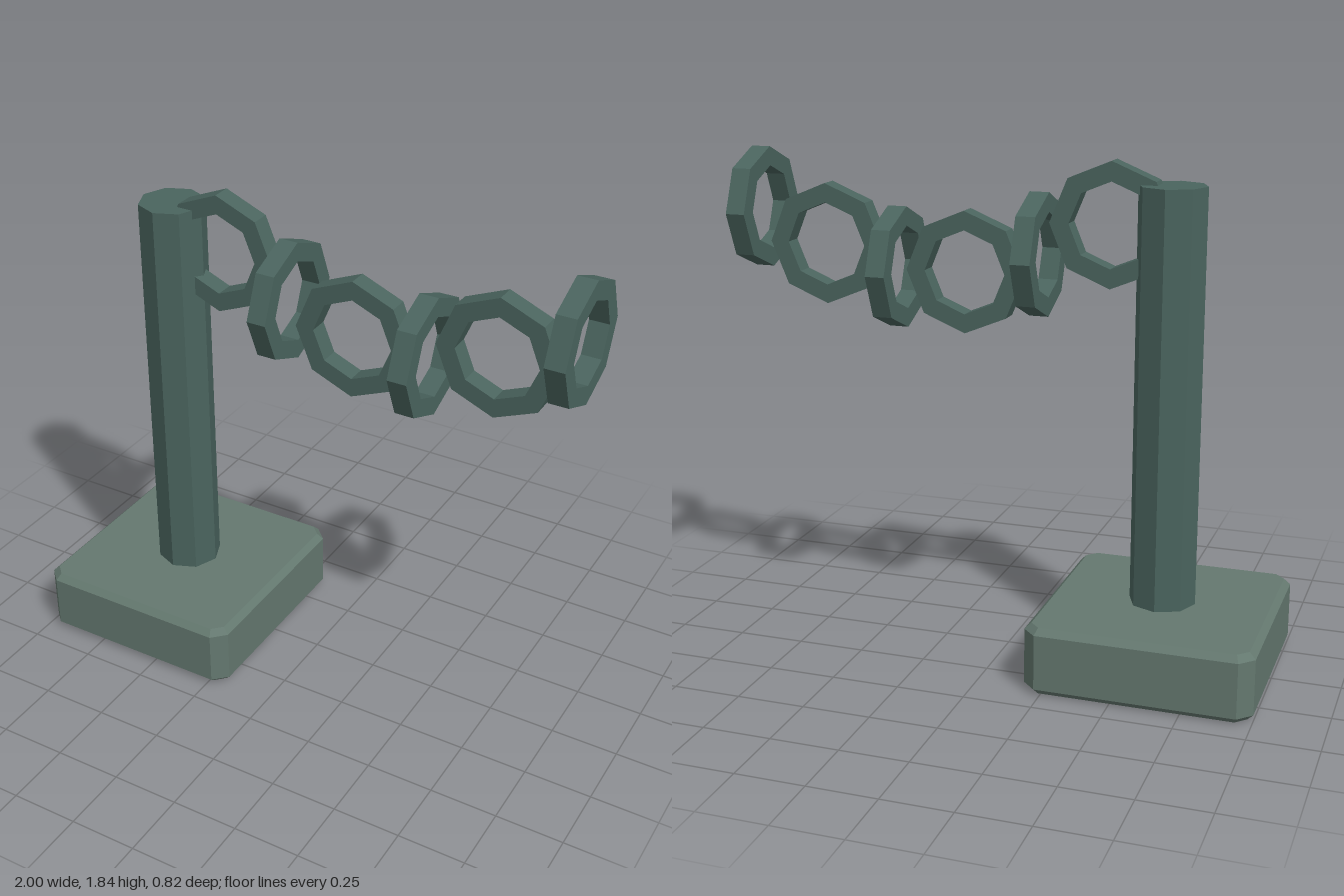
import * as THREE from 'three';

const POST_X = -0.59;

function material(color) {
  const m = new THREE.MeshStandardMaterial({ color });
  m.flatShading = true;
  return m;
}

// Square slab with cut corners and a single bevel on top and bottom edges
function slabGeometry(half, cut, height, bevel) {
  const a = half, b = half - cut;
  const outline = [[a, -b], [a, b], [b, a], [-b, a], [-a, b], [-a, -b], [-b, -a], [b, -a]];
  const shape = new THREE.Shape(outline.map(([x, y]) => new THREE.Vector2(x, y)));
  const geometry = new THREE.ExtrudeGeometry(shape, {
    depth: height - 2 * bevel,
    bevelEnabled: true, bevelSegments: 1,
    bevelSize: bevel, bevelThickness: bevel, bevelOffset: -bevel,
  });
  return geometry.translate(0, 0, bevel).rotateX(-Math.PI / 2);
}

// Eight-sided ring of square section, axis along y
function linkGeometry(inner, outer, thickness) {
  const h = thickness / 2;
  const section = [[inner, -h], [outer, -h], [outer, h], [inner, h], [inner, -h]];
  return new THREE.LatheGeometry(section.map(([x, y]) => new THREE.Vector2(x, y)), 8);
}

export function createModel() {
  const model = new THREE.Group();
  const stone = material(0x64786f);
  const metal = material(0x4a645e);

  const add = (name, geometry, mat, x, y) => {
    const mesh = new THREE.Mesh(geometry, mat);
    mesh.name = name;
    mesh.position.set(x, y, 0);
    model.add(mesh);
    return mesh;
  };

  // Base and post
  add('base', slabGeometry(0.41, 0.05, 0.25, 0.023), stone, POST_X, 0);
  add('post', new THREE.CylinderGeometry(0.122, 0.122, 1.52, 8), metal, POST_X, 1.0);

  // Sagging chain, every second link turned a quarter
  const chain = new THREE.Group();
  chain.name = 'chain';
  const link = linkGeometry(0.152, 0.222, 0.072);
  const heights = [1.616, 1.495, 1.42, 1.42, 1.495, 1.616];
  heights.forEach((y, i) => {
    const mesh = new THREE.Mesh(link, metal);
    mesh.name = `chainLink${i + 1}`;
    mesh.position.set(-0.382 + i * 0.2692, y, 0);
    if (i % 2) mesh.rotation.z = Math.PI / 2;
    else mesh.rotation.x = Math.PI / 2;
    chain.add(mesh);
  });
  model.add(chain);

  return model;
}
